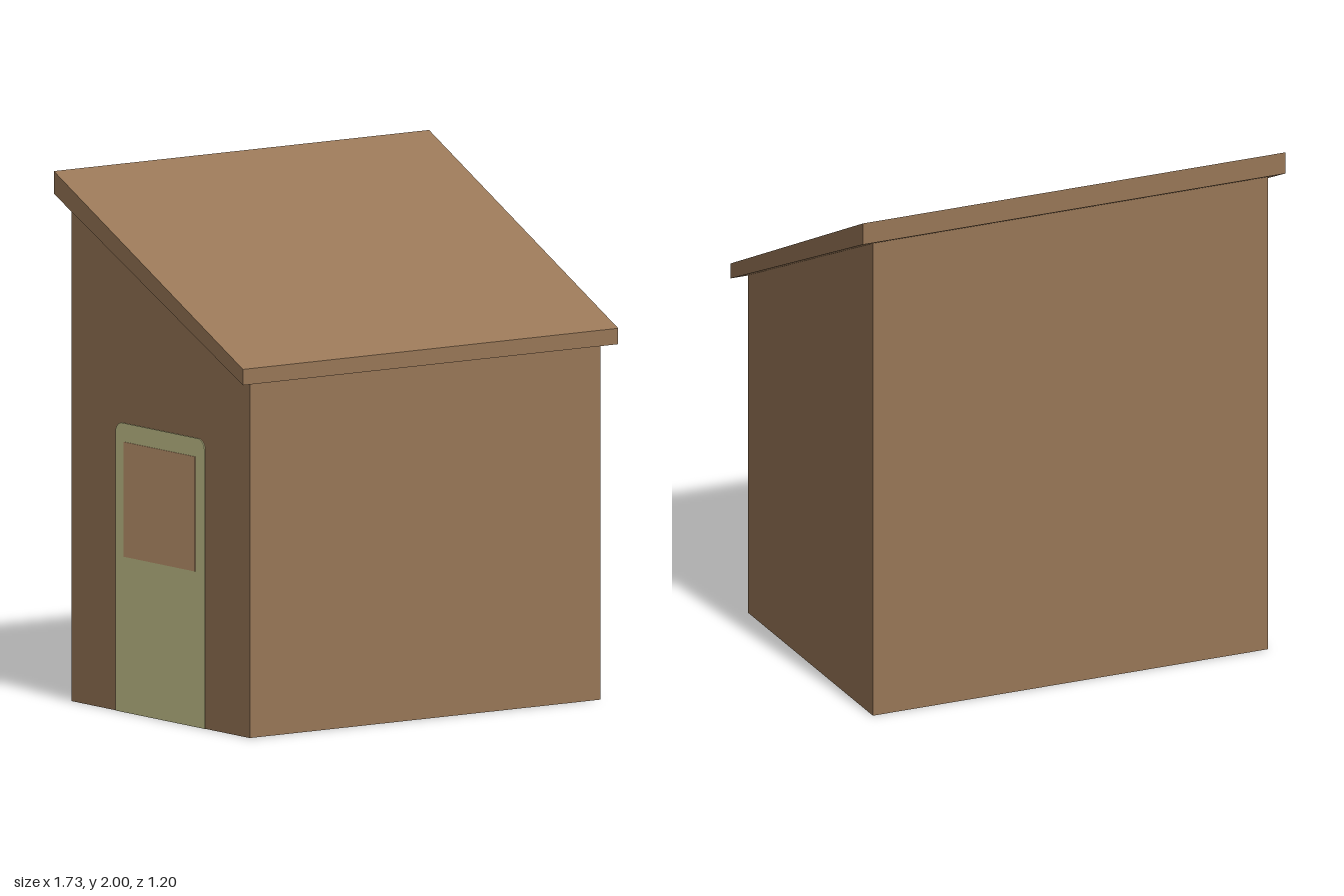
import * as THREE from 'three';

// Extrudes a (z, y) side profile along x, between x = from and x = to (from > to).
function slab(name, shape, from, to, material) {
  const geometry = new THREE.ExtrudeGeometry(shape, { depth: from - to, bevelEnabled: false, curveSegments: 6 });
  geometry.rotateY(-Math.PI / 2);
  geometry.translate(from, 0, 0);
  const mesh = new THREE.Mesh(geometry, material);
  mesh.name = name;
  return mesh;
}

function polygon(points) {
  return new THREE.Shape(points.map(([z, y]) => new THREE.Vector2(z, y)));
}

function paint(name, color) {
  const material = new THREE.MeshStandardMaterial({ color });
  material.name = name;
  return material;
}

export function createModel() {
  const wood = paint('brown wood', 0x977656);
  const doorPaint = paint('pale olive paint', 0xc8c68e);
  const pane = paint('tan pane', 0xc49a72);

  const group = new THREE.Group();
  group.name = 'shed';

  const wallX = 0.808, wallZ = 0.565, roofX = 0.865, roofZ = 0.6;

  // Body with a top that slopes down to the front
  const body = polygon([[-wallZ, 0], [wallZ, 0], [wallZ, 1.357], [-wallZ, 1.898]]);
  group.add(slab('walls', body, wallX, -wallX, wood));

  // Overhanging lean-to roof
  const roof = polygon([[roofZ, 1.34], [roofZ, 1.4], [-roofZ, 2], [-roofZ, 1.915]]);
  group.add(slab('roof', roof, roofX, -roofX, wood));

  // Door with rounded top corners on the -x side
  const w = 0.282, h = 1.09, r = 0.04;
  const door = new THREE.Shape();
  door.moveTo(-w, 0);
  door.lineTo(w, 0);
  door.lineTo(w, h - r);
  door.absarc(w - r, h - r, r, 0, Math.PI / 2, false);
  door.absarc(-w + r, h - r, r, Math.PI / 2, Math.PI, false);
  door.lineTo(-w, 0);
  group.add(slab('door', door, -wallX, -wallX - 0.004, doorPaint));

  // Window in the door
  const glass = polygon([[-0.225, 0.587], [0.225, 0.587], [0.225, 1.02], [-0.225, 1.02]]);
  group.add(slab('doorWindow', glass, -wallX - 0.004, -wallX - 0.007, pane));

  return group;
}
